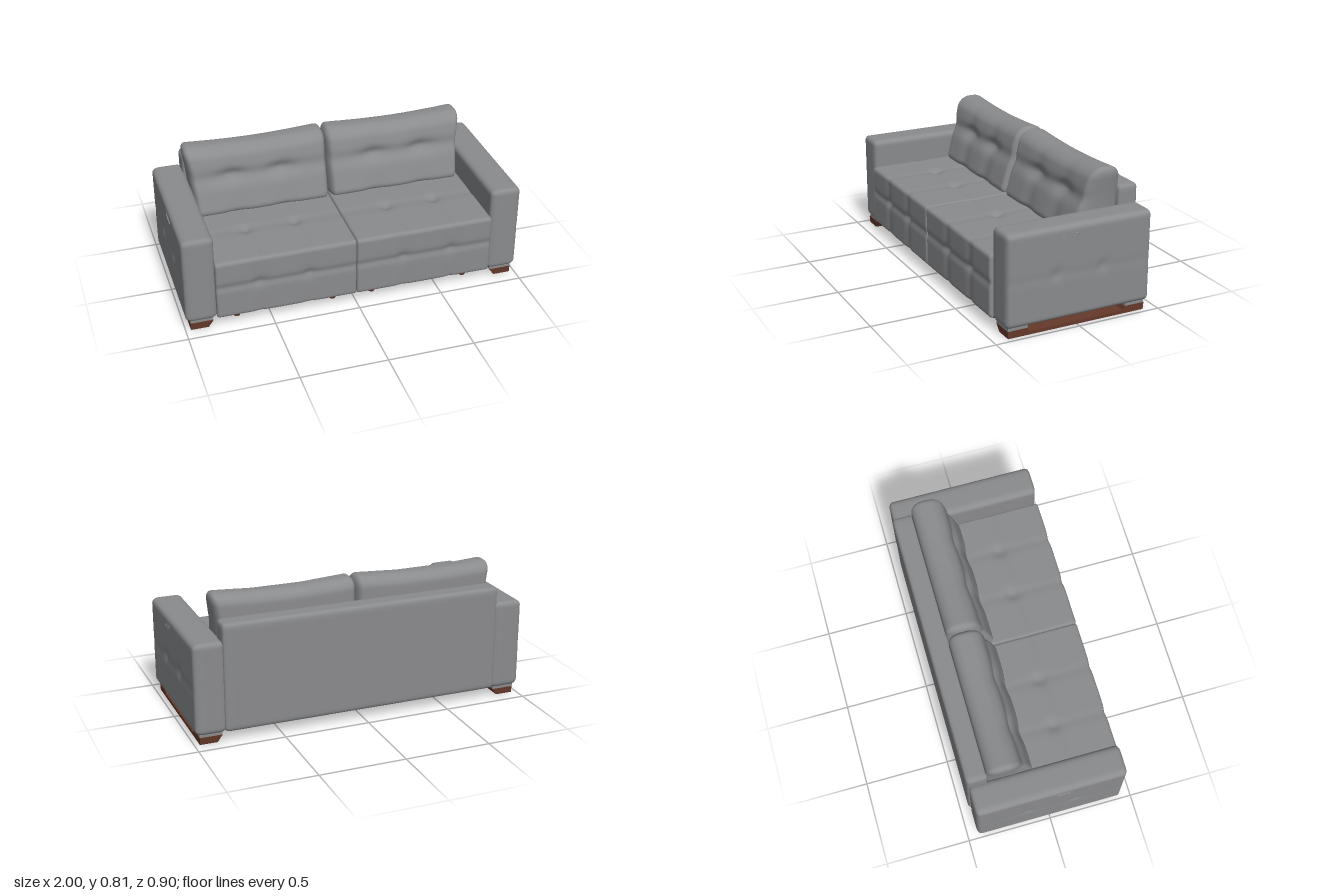
import * as THREE from 'three';
import { mergeVertices } from 'three/addons/utils/BufferGeometryUtils.js';

const fabric = new THREE.MeshStandardMaterial({ color: 0x8a8b8d });
fabric.name = 'grey fabric';
const wood = new THREE.MeshStandardMaterial({ color: 0x66392a });
wood.name = 'brown wood';

const bump = (d, width) => Math.exp(-(d * d) / (width * width));
const TUFTS = [0.28, 0.57];
const tuftSum = (x, width) => TUFTS.reduce((sum, t) => sum + bump(x - t, width), 0);

// Soft box between two corners, rounded by its own radius on each axis, then shaped by a rule
function softBox(min, max, radius, segments, rule) {
  const lo = new THREE.Vector3(...min), hi = new THREE.Vector3(...max);
  const half = hi.clone().sub(lo).multiplyScalar(0.5);
  const centre = hi.clone().add(lo).multiplyScalar(0.5);
  let geo = new THREE.BoxGeometry(2, 2, 2, ...segments);
  geo.deleteAttribute('uv');
  geo.deleteAttribute('normal');
  geo = mergeVertices(geo, 1e-4);
  const pos = geo.attributes.position;
  const p = new THREE.Vector3(), inner = new THREE.Vector3(), d = new THREE.Vector3();
  for (let i = 0; i < pos.count; i++) {
    p.fromBufferAttribute(pos, i);
    ['x', 'y', 'z'].forEach((k, a) => {
      // crowd the grid towards the edges
      const t = 0.35 * p[k] + 0.65 * Math.sin(p[k] * Math.PI / 2);
      p[k] = t * half[k];
      const limit = half[k] - radius[a];
      inner[k] = THREE.MathUtils.clamp(p[k], -limit, limit);
      d[k] = (p[k] - inner[k]) / radius[a];
    });
    d.normalize();
    p.set(inner.x + d.x * radius[0], inner.y + d.y * radius[1], inner.z + d.z * radius[2]).add(centre);
    if (rule) rule(p);
    pos.setXYZ(i, p.x, p.y, p.z);
  }
  geo.computeVertexNormals();
  return geo;
}

// Same, placed on one side of the model: s = 1 is left, s = -1 is right
function sidedBox(s, x0, x1, y, z, radius, segments, rule) {
  const xs = s > 0 ? [x0, x1] : [-x1, -x0];
  return softBox([xs[0], y[0], z[0]], [xs[1], y[1], z[1]], radius, segments, rule);
}

// Seat: tufted top, quilted front with a horizontal seam
function shapeSeat(p) {
  const x = Math.abs(p.x);
  if (p.y > 0.37) {
    p.y -= 0.016 * tuftSum(x, 0.035) * bump(p.z - 0.13, 0.035);
    p.y -= 0.004 * bump(p.z - 0.13, 0.03) + 0.004 * tuftSum(x, 0.02);
  }
  if (p.z > 0.4) {
    p.z -= 0.008 * bump(p.y - 0.26, 0.018) + 0.006 * tuftSum(x, 0.03);
    p.z -= 0.008 * tuftSum(x, 0.035) * bump(p.y - 0.26, 0.035);
  }
}

// Back cushion: thick at the bottom, leaning back and flaring sideways at the top
function shapeBackCushion(p) {
  const x = Math.abs(p.x);
  const t = THREE.MathUtils.clamp((p.y - 0.42) / 0.38, 0, 1);
  const depth = THREE.MathUtils.lerp(0.145, 0.088, t);
  const u = p.z / 0.085;
  p.z = THREE.MathUtils.lerp(-0.195, -0.245, t) + u * depth;
  if (u > 0.3) {
    p.z -= 0.022 * bump(p.y - 0.635, 0.04) * (0.5 + tuftSum(x, 0.09));
    p.z -= 0.012 * tuftSum(x, 0.06) * (1 - 0.5 * t);
  }
  p.y -= 0.018 * t * t * Math.sin(Math.min(x / 0.82, 1) * Math.PI);
  p.x *= 1 + 0.045 * t * t;
}

// Arm: two button dimples and a faint seam on the outer side
function shapeArm(p) {
  const x = Math.abs(p.x);
  if (x < 0.97) return;
  const dent = 0.009 * (bump(p.z - 0.14, 0.03) + bump(p.z + 0.14, 0.03)) * bump(p.y - 0.325, 0.03)
    + 0.002 * bump(p.y - 0.315, 0.02);
  p.x -= Math.sign(p.x) * dent;
}

// Wooden skid: two pads joined by a low bar, inner edge tapering towards the floor
function skidGeometry() {
  const shape = new THREE.Shape([
    [-0.42, 0], [0.415, 0], [0.418, 0.042], [0.3, 0.042], [0.288, 0.02],
    [-0.288, 0.02], [-0.3, 0.042], [-0.424, 0.042],
  ].map(([z, y]) => new THREE.Vector2(z, y)));
  const geo = new THREE.ExtrudeGeometry(shape, { depth: 0.13, bevelEnabled: false });
  geo.rotateY(-Math.PI / 2).translate(0.97, 0, 0);
  const pos = geo.attributes.position;
  for (let i = 0; i < pos.count; i++) {
    if (pos.getX(i) < 0.9) pos.setX(i, 0.84 + 0.028 * (1 - pos.getY(i) / 0.042));
  }
  geo.computeVertexNormals();
  return geo;
}

export function createModel() {
  const model = new THREE.Group();
  model.name = 'sofa';
  const add = (name, geo, material = fabric) => {
    const mesh = new THREE.Mesh(geo, material);
    mesh.name = name;
    model.add(mesh);
    return mesh;
  };

  // Back panel
  add('backPanel', softBox([-0.83, 0.06, -0.452], [0.83, 0.688, -0.325], [0.025, 0.025, 0.025], [40, 24, 12]));

  for (const s of [1, -1]) {
    const side = s > 0 ? 'left' : 'right';
    add(`${side}Arm`, sidedBox(s, 0.815, 0.995, [0.058, 0.588], [-0.442, 0.434],
      [0.04, 0.03, 0.025], [16, 36, 56], shapeArm));
    add(`${side}Seat`, sidedBox(s, 0, 0.82, [0.06, 0.424], [-0.36, 0.447],
      [0.012, 0.022, 0.022], [56, 36, 52], shapeSeat));
    add(`${side}BackCushion`, sidedBox(s, 0, 0.814, [0.39, 0.812], [-0.085, 0.085],
      [0.035, 0.065, 0.07], [56, 40, 22], shapeBackCushion));

    // Pull slot rim on the outer side of the arm
    const rim = add(`${side}ArmSlot`, new THREE.TorusGeometry(0.05, 0.004, 6, 32));
    rim.geometry.scale(1, 0.18, 0.8).rotateZ(s * 0.08).rotateY(s * Math.PI / 2);
    rim.position.set(s * 0.995, 0.53, 0.067);

    // Skid and its fabric mounts
    const skid = add(`${side}Skid`, skidGeometry(), wood);
    if (s < 0) skid.rotation.y = Math.PI;
    for (const z of [0.358, -0.362]) {
      const mount = add(`${side}SkidMount`, new THREE.BoxGeometry(0.13, 0.03, 0.118));
      mount.position.set(s * 0.905, 0.056, z);
    }

    // Small front feet
    for (const x of [0.12, 0.69]) {
      const foot = add(`${side}FrontFoot`, new THREE.CylinderGeometry(0.027, 0.019, 0.045, 20), wood);
      foot.position.set(s * x, 0.0225, 0.35);
      const collar = add(`${side}FootCollar`, new THREE.CylinderGeometry(0.029, 0.027, 0.025, 20));
      collar.position.set(s * x, 0.0575, 0.35);
    }
  }
  return model;
}
